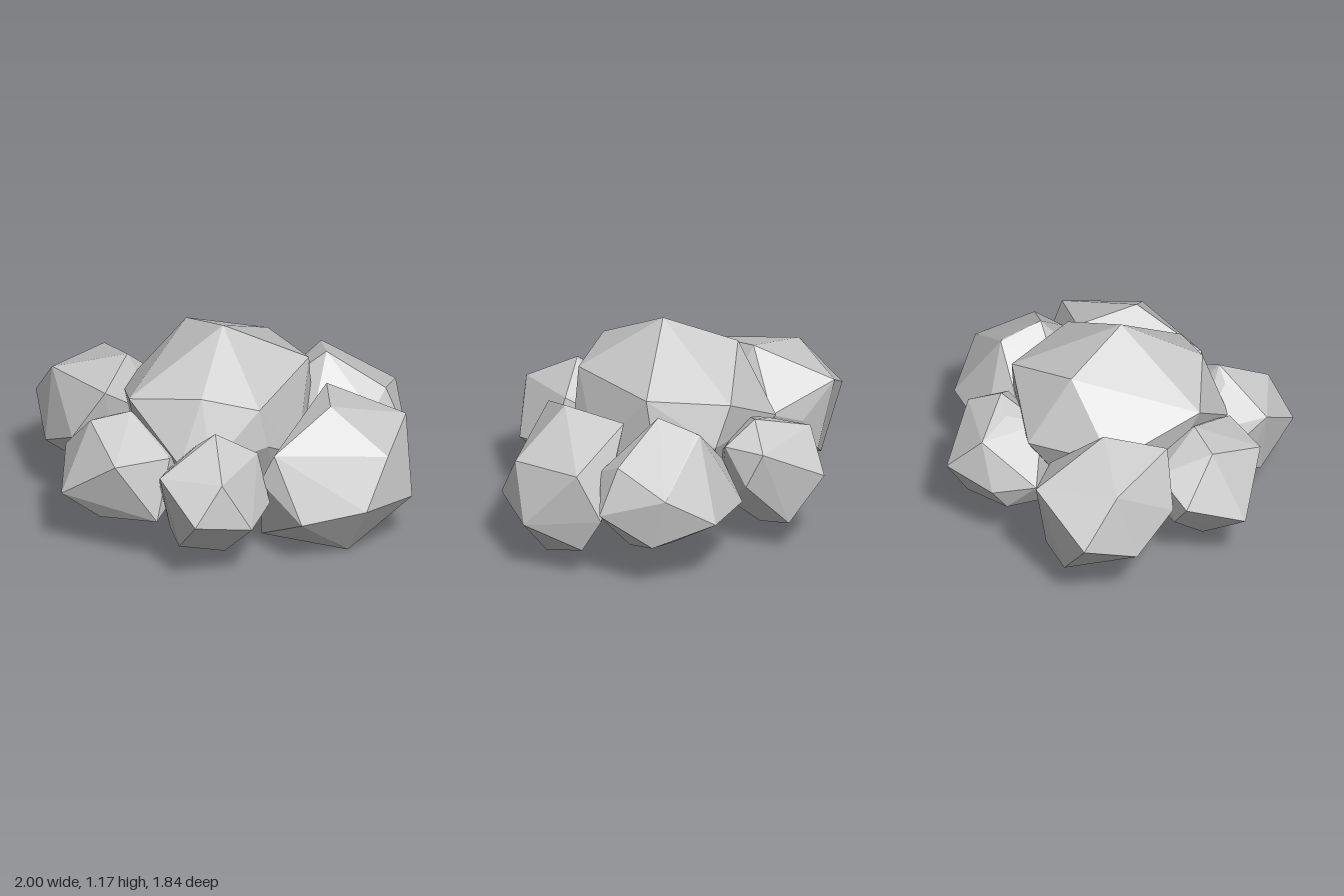
import * as THREE from 'three';
import { ConvexGeometry } from 'three/addons/geometries/ConvexGeometry.js';

const material = new THREE.MeshStandardMaterial({ color: 0xcccccc, flatShading: true });

// A faceted lump: its outer corners, closed on the far side by the same
// corners reflected through the centre and pulled in a little.
function lump(name, centre, corners, fill = 0.85) {
  const c = new THREE.Vector3(...centre);
  const outer = corners.map((p) => new THREE.Vector3(...p));
  const inner = outer.map((p) => c.clone().addScaledVector(p.clone().sub(c), -fill));
  const mesh = new THREE.Mesh(new ConvexGeometry([...outer, ...inner]), material);
  mesh.name = name;
  return mesh;
}

export function createModel() {
  const group = new THREE.Group();
  group.name = 'lumpyBush';

  // Large middle lump: peak, upper ring, waist, underside
  group.add(lump('centreLump', [-0.07, 0.58, -0.01], [
    [-0.05, 1.17, 0.05], [-0.05, 1.03, -0.35], [0.42, 0.9, 0.15], [0.42, 0.87, -0.3],
    [-0.355, 0.945, 0.36], [-0.08, 0.87, 0.5], [-0.62, 0.87, 0.04],
    [0.08, 0.65, -0.55], [-0.4, 0.68, -0.42], [0.47, 0.55, 0.1], [0.48, 0.65, -0.22],
    [-0.04, 0.65, 0.52], [0.2, 0.5, 0.42], [-0.51, 0.6, 0.4], [-0.37, 0.6, 0.49],
    [0.2, 0.11, 0.25], [-0.1, 0.08, 0.14], [0.22, 0.09, -0.13], [-0.28, 0.19, 0.26],
  ], 0.75));

  // Ring of smaller lumps around it
  group.add(lump('frontLeftLump', [0.37, 0.4, 0.56], [
    [0.31, 0.83, 0.58], [0.8, 0.64, 0.53], [0.51, 0.6, 0.85], [0.34, 0.34, 0.92], [0.68, 0.3, 0.81],
    [0.36, 0, 0.68], [0.75, 0.18, 0.5], [0, 0.3, 0.82], [-0.08, 0.67, 0.66], [0.46, 0.79, 0.27],
    [0.01, 0.04, 0.36], [0.82, 0.38, 0.4], [-0.13, 0.5, 0.6],
  ], 0.55));
  group.add(lump('leftLump', [0.62, 0.5, 0.05], [
    [1.0, 0.58, 0.06], [0.56, 0.87, 0.09], [0.65, 0.81, -0.13], [0.91, 0.4, -0.21], [0.8, 0.69, 0.31],
    [0.87, 0.44, 0.41], [0.94, 0.28, 0.13], [0.56, 0.37, -0.36], [0.58, 0.13, 0.24],
  ]));
  group.add(lump('backLeftLump', [0.28, 0.45, -0.49], [
    [0.58, 0.65, -0.47], [0.44, 0.46, -0.8], [0.25, 0.67, -0.73], [0.46, 0.19, -0.61], [0.38, 0.77, -0.43],
    [0.47, 0.65, -0.27], [0.15, 0.4, -0.76], [0.3, 0.13, -0.46], [-0.04, 0.45, -0.62],
  ]));
  group.add(lump('backRightLump', [-0.41, 0.5, -0.54], [
    [-0.26, 0.69, -0.87], [-0.65, 0.49, -0.92], [-0.36, 0.85, -0.44], [-0.68, 0.74, -0.69], [-0.76, 0.35, -0.62],
    [-0.76, 0.5, -0.33], [-0.62, 0.78, -0.22], [-0.06, 0.58, -0.53], [-0.4, 0.2, -0.8], [-0.5, 0.16, -0.4],
  ], 0.75));
  group.add(lump('rightLump', [-0.62, 0.47, 0.04], [
    [-1, 0.37, -0.02], [-0.8, 0.74, -0.06], [-0.84, 0.62, 0.28], [-0.82, 0.5, -0.29], [-0.83, 0.24, 0.1],
    [-0.6, 0.78, 0.02], [-0.65, 0.3, 0.4], [-0.72, 0.18, -0.05], [-0.55, 0.64, 0.36], [-0.52, 0.15, 0.1],
  ]));
  group.add(lump('frontRightLump', [-0.38, 0.45, 0.5], [
    [-0.3, 0.35, 0.81], [-0.63, 0.43, 0.78], [-0.46, 0.64, 0.77], [-0.35, 0.8, 0.5], [-0.69, 0.62, 0.5],
    [-0.13, 0.66, 0.57], [-0.1, 0.39, 0.65], [-0.32, 0.11, 0.55], [-0.6, 0.21, 0.55], [-0.13, 0.22, 0.5],
  ]));

  return group;
}
